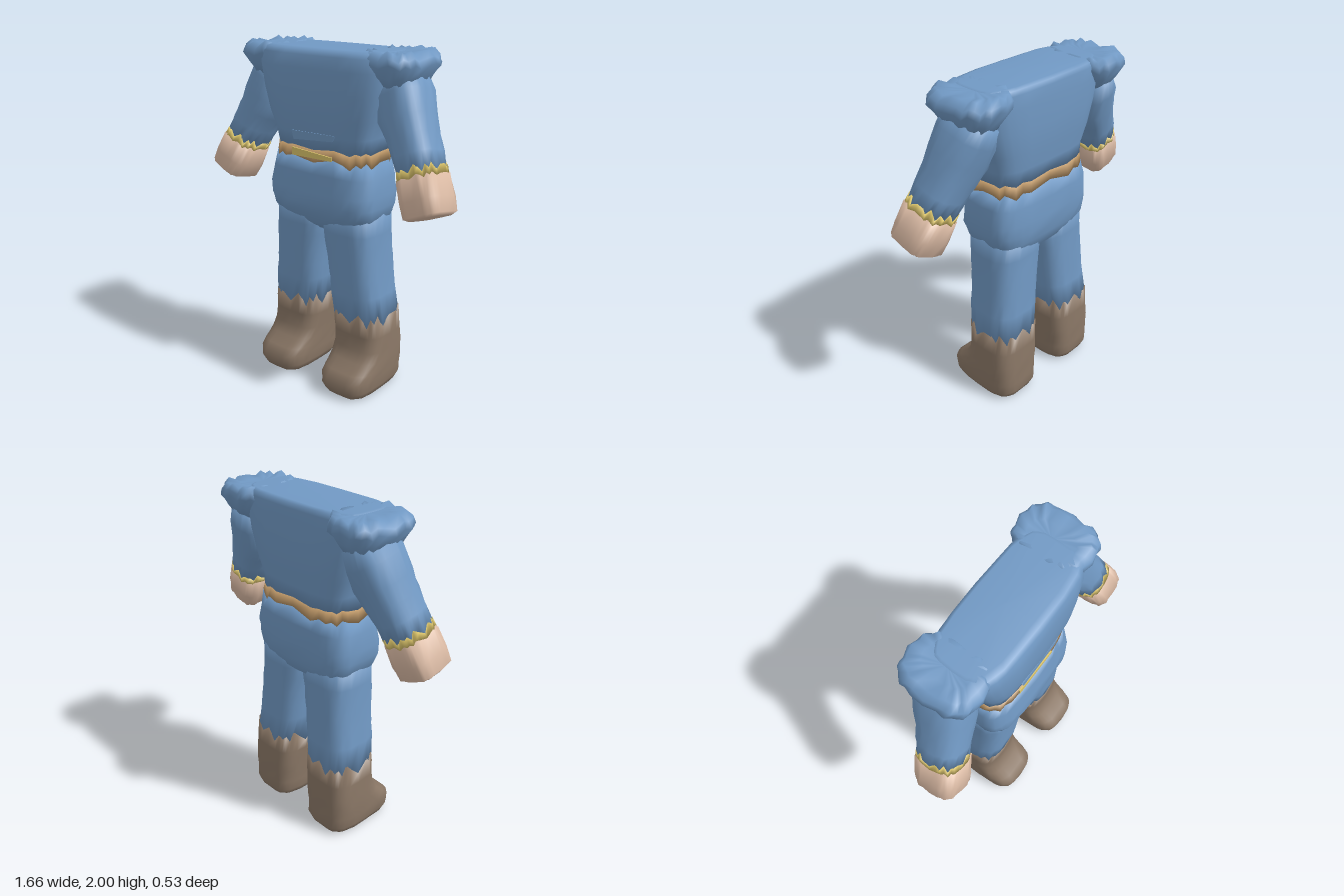
import * as THREE from 'three';

const SIDES = 32;
// Uneven teeth for the ragged colour borders
const TEETH = [0.4, -0.7, 0.9, -0.3, 0.6, -1, 0.2, 1, -0.6, 0.5, -0.2];

// Closed loft, bottom to top. Section: [y, centreX, centreZ, halfX, halfZ, raggedHeight]
function loft(sections, power = 3, wobble = 0.004) {
  const pos = [], idx = [];
  const round = (v) => Math.sign(v) * Math.pow(Math.abs(v), 2 / power);
  for (const [y, cx, cz, hx, hz, ragged = 0] of sections) {
    for (let i = 0; i < SIDES; i++) {
      const a = (i / SIDES) * Math.PI * 2;
      const w = wobble * Math.sin(i * 2.3 + y * 40);
      pos.push(
        cx + (hx + w) * round(Math.cos(a)),
        y + ragged * TEETH[i % TEETH.length],
        cz + (hz + w) * round(Math.sin(a))
      );
    }
  }
  const last = sections.length - 1;
  for (let j = 0; j < last; j++) {
    for (let i = 0; i < SIDES; i++) {
      const a = j * SIDES + i, b = j * SIDES + (i + 1) % SIDES;
      idx.push(a, a + SIDES, b, b, a + SIDES, b + SIDES);
    }
  }
  // End caps
  for (const j of [0, last]) {
    const s = sections[j], c = pos.length / 3;
    pos.push(s[1], s[0], s[2]);
    for (let i = 0; i < SIDES; i++) {
      const a = j * SIDES + i, b = j * SIDES + (i + 1) % SIDES;
      if (j === 0) idx.push(c, a, b);
      else idx.push(c, b, a);
    }
  }
  const g = new THREE.BufferGeometry();
  g.setAttribute('position', new THREE.Float32BufferAttribute(pos, 3));
  g.setIndex(idx);
  g.computeVertexNormals();
  return g;
}

// Thin flat plate from corner points
function plate(points) {
  const shape = new THREE.Shape(points.map(([x, y]) => new THREE.Vector2(x, y)));
  return new THREE.ExtrudeGeometry(shape, { depth: 0.008, bevelEnabled: false });
}

export function createModel() {
  const mat = (name, color) => {
    const m = new THREE.MeshStandardMaterial({ color });
    m.name = name;
    return m;
  };
  const blue = mat('blue cloth', 0x7199c4);
  const brown = mat('brown boot', 0x8a7766);
  const skin = mat('skin', 0xd9b9a3);
  const yellow = mat('yellow trim', 0xdcc56c);
  const tan = mat('tan belt', 0xc39c6b);

  const model = new THREE.Group();
  model.name = 'headlessFigure';
  const add = (parent, name, geometry, material) => {
    const mesh = new THREE.Mesh(geometry, material);
    mesh.name = name;
    parent.add(mesh);
    return mesh;
  };

  // Torso: hips, belt and chest share their ragged border rings
  const beltLow = [1.375, 0, -0.015, 0.335, 0.18, 0.022];
  const beltHigh = [1.44, 0, -0.015, 0.328, 0.175, 0.01];
  add(model, 'hips', loft([
    [0.95, 0, -0.02, 0.15, 0.1],
    [1.0, 0, -0.02, 0.3, 0.16],
    [1.07, 0, -0.01, 0.352, 0.195],
    [1.13, 0, -0.005, 0.365, 0.208],
    [1.2, 0, -0.01, 0.37, 0.207],
    [1.3, 0, -0.015, 0.357, 0.192],
    beltLow,
  ], 4), blue);
  add(model, 'belt', loft([beltLow, beltHigh], 4), tan);
  add(model, 'chest', loft([
    beltHigh,
    [1.52, 0, -0.012, 0.335, 0.184],
    [1.62, 0, -0.01, 0.37, 0.203],
    [1.75, 0, -0.01, 0.41, 0.21],
    [1.88, 0, -0.01, 0.44, 0.208],
    [1.95, 0, -0.015, 0.44, 0.198],
    [1.975, 0, -0.02, 0.43, 0.185],
    [1.985, 0, -0.025, 0.4, 0.16],
  ], 4, 0.002), blue);

  // Buckle strip and small pocket flap on the front
  add(model, 'buckle', plate([[-0.15, 1.385], [0.14, 1.39], [0.14, 1.412], [-0.15, 1.43]]), yellow)
    .position.z = 0.162;
  add(model, 'pocketFlap', plate([[-0.13, 1.48], [0.15, 1.503], [0.17, 1.537], [-0.145, 1.53]]), blue)
    .position.z = 0.17;

  for (const s of [1, -1]) {
    const side = s > 0 ? 'left' : 'right';
    const mirror = (rows) => rows.map(([y, cx, ...rest]) => [y, s * cx, ...rest]);

    // Leg and boot
    const leg = new THREE.Group();
    leg.name = side + 'Leg';
    model.add(leg);
    const bootTop = [0.45, 0.234, -0.045, 0.164, 0.167, 0.045];
    add(leg, side + 'Boot', loft(mirror([
      [0, 0.25, 0.02, 0.115, 0.19],
      [0.012, 0.25, 0.02, 0.15, 0.228],
      [0.05, 0.25, 0.02, 0.167, 0.245],
      [0.11, 0.25, 0.021, 0.168, 0.246],
      [0.15, 0.25, 0, 0.168, 0.225],
      [0.2, 0.248, -0.03, 0.168, 0.193],
      [0.26, 0.245, -0.05, 0.168, 0.173],
      [0.35, 0.24, -0.05, 0.167, 0.167],
      bootTop,
    ]), 3.6, 0.002), brown);
    add(leg, side + 'Trouser', loft(mirror([
      bootTop,
      [0.6, 0.217, -0.032, 0.166, 0.17],
      [0.7, 0.207, -0.028, 0.166, 0.17],
      [0.8, 0.197, -0.024, 0.167, 0.171],
      [0.9, 0.186, -0.02, 0.172, 0.171],
      [0.97, 0.178, -0.018, 0.177, 0.172],
      [1.12, 0.17, -0.015, 0.178, 0.175],
    ])), blue);

    // Arm, built downwards from the shoulder and then swung outwards and forwards
    const arm = new THREE.Group();
    arm.name = side + 'Arm';
    arm.position.set(s * 0.45, 1.82, -0.06);
    arm.quaternion.setFromUnitVectors(
      new THREE.Vector3(0, -1, 0),
      new THREE.Vector3(s * 0.285, -0.65, 0.15).normalize()
    );
    model.add(arm);
    const cuffLow = [-0.505, 0, 0, 0.114, 0.13, 0.012];
    const cuffHigh = [-0.465, 0, 0, 0.115, 0.13, 0.024];
    add(arm, side + 'Hand', loft(mirror([
      [-0.715, 0, 0, 0.09, 0.1],
      [-0.7, 0, 0, 0.115, 0.125],
      [-0.62, 0, 0, 0.12, 0.132],
      cuffLow,
    ]), 3.6), skin);
    add(arm, side + 'Cuff', loft(mirror([cuffLow, cuffHigh])), yellow);
    add(arm, side + 'Sleeve', loft(mirror([
      cuffHigh,
      [-0.38, -0.004, 0, 0.117, 0.133],
      [-0.28, -0.015, 0, 0.126, 0.14],
      [-0.18, -0.025, 0, 0.14, 0.148],
      [-0.06, -0.01, 0, 0.128, 0.158],
      [0.04, 0, 0, 0.1, 0.15],
    ]), 2.6, 0.006), blue);

    // Flared shoulder rim
    add(model, side + 'ShoulderRim', loft(mirror([
      [1.8, 0.44, -0.05, 0.09, 0.14],
      [1.86, 0.44, -0.05, 0.115, 0.18],
      [1.92, 0.435, -0.05, 0.165, 0.212, 0.012],
      [1.955, 0.43, -0.05, 0.155, 0.21, 0.012],
      [1.985, 0.42, -0.055, 0.13, 0.185, 0.014],
      [1.98, 0.4, -0.055, 0.08, 0.13],
    ]), 3, 0.006), blue);
  }
  return model;
}
